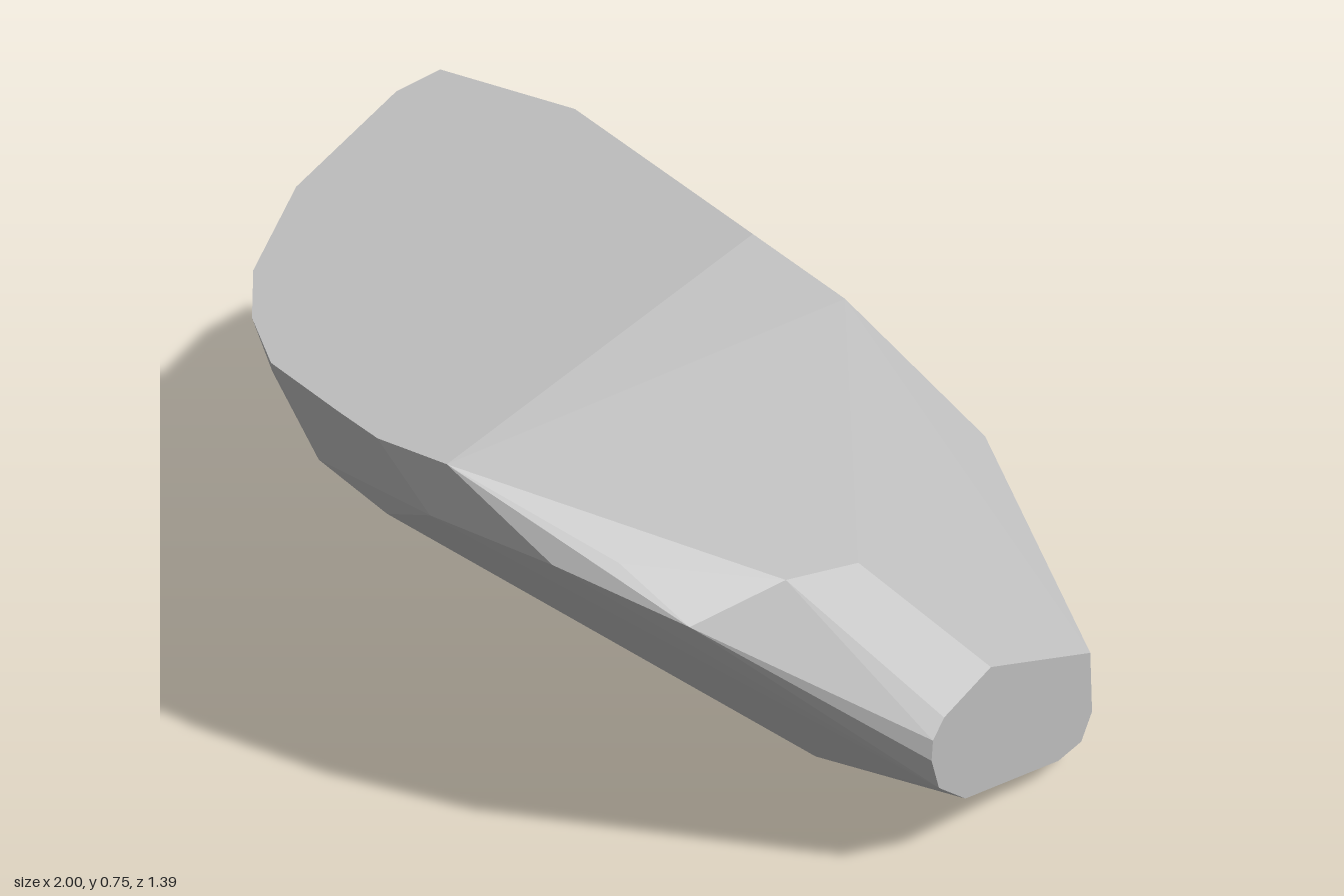
import * as THREE from 'three';
import { ConvexGeometry } from 'three/addons/geometries/ConvexGeometry.js';

// Corner rings of the faceted stone, grouped by where they sit
const rim = [ // flat top outline, [x, z] at y = 0.747
  [-0.99, -0.695], [-0.6, -0.695], [0.1, -0.39], [0.28, 0.69], [0.13, 0.695], [0.01, 0.665],
  [-0.21, 0.605], [-0.37, 0.495], [-0.52, 0.345], [-0.75, 0], [-0.97, -0.53],
];
const base = [ // flat underside, [x, z] at y = 0
  [0.12, -0.695], [0.28, -0.695], [0.7, -0.48], [0.9, -0.27], [0.88, -0.1], [0.62, 0.06],
];
const end = [ // flat end, [y, z] at x = 1
  [0.38, 0.14], [0.35, 0.28], [0.32, 0.31], [0.28, 0.31], [0.21, 0.28],
  [0.14, 0.19], [0.05, -0.13], [0.05, -0.21], [0.1, -0.24], [0.24, -0.21],
];
const back = [ // flat back, [x, y] at z = -0.695
  [-1, 0.73], [-0.905, 0.55], [-0.84, 0.45], [-0.7, 0.33], [-0.55, 0.21],
  [-0.33, 0.07], [-0.26, 0.05], [-0.02, 0.49],
];
const shoulders = [ // sloping facets between the flats
  [0.34, 0.69, -0.36], [0.81, 0.57, 0.27], [0.77, 0.59, 0.42],
  [0.6, 0.44, -0.47], [0.42, 0.35, -0.62], [0.4, 0.2, -0.66], [0.92, 0.06, -0.3],
];
const front = [ // front facets and undercut
  [0.23, 0.63, 0.68], [0.47, 0.61, 0.65], [0.56, 0.62, 0.59], [0.69, 0.54, 0.57],
  [0.02, 0.51, 0.566], [-0.16, 0.55, 0.55], [-0.24, 0.71, 0.575], [-0.65, 0.68, 0.175],
  [-0.51, 0.42, 0.21], [-0.65, 0.51, 0.06], [-0.25, 0.07, -0.29], [0.63, 0.02, 0.1],
];

export function createModel() {
  const group = new THREE.Group();
  group.name = 'rock';
  const stone = new THREE.MeshStandardMaterial({ color: 0xbcbcbc });
  stone.name = 'light grey stone';

  const corners = [
    ...rim.map(([x, z]) => [x, 0.747, z]),
    ...base.map(([x, z]) => [x, 0, z]),
    ...end.map(([y, z]) => [1, y, z]),
    ...back.map(([x, y]) => [x, y, -0.695]),
    ...shoulders,
    ...front,
  ].map((p) => new THREE.Vector3(...p));

  // Flat facets come from wrapping the corners in a convex skin
  const boulder = new THREE.Mesh(new ConvexGeometry(corners), stone);
  boulder.name = 'boulder';
  group.add(boulder);
  return group;
}
